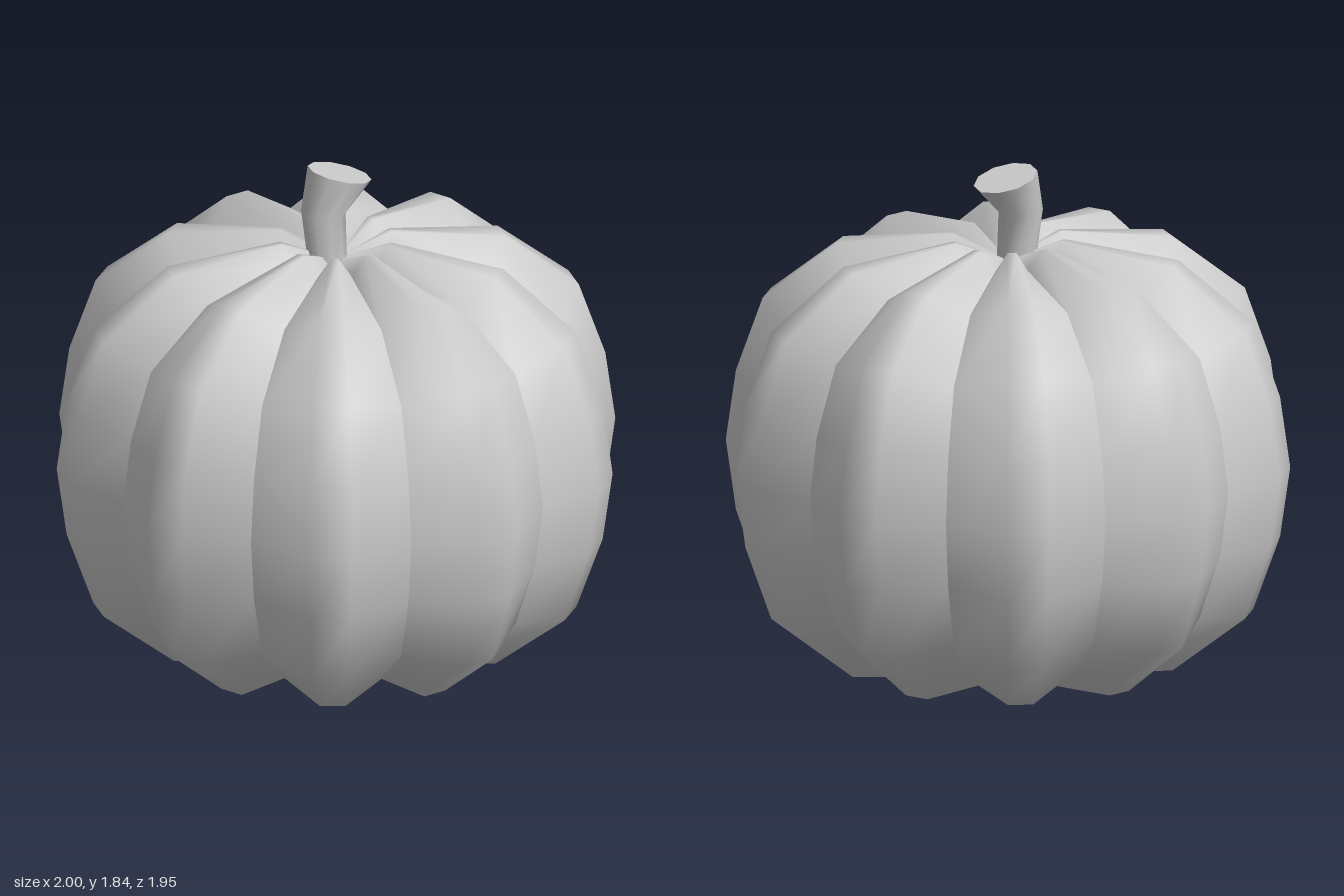
import * as THREE from 'three';

const CENTER_Y = 0.796;

// Grid of rows x columns of points -> indexed geometry with smooth normals
function gridGeometry(rows) {
  const cols = rows[0].length;
  const index = [];
  for (let i = 0; i < rows.length - 1; i++) {
    for (let j = 0; j < cols - 1; j++) {
      const a = i * cols + j, b = a + 1, c = a + cols, d = c + 1;
      index.push(a, b, d, a, d, c);
    }
  }
  const geo = new THREE.BufferGeometry();
  geo.setAttribute('position', new THREE.Float32BufferAttribute(rows.flat(2), 3));
  geo.setIndex(index);
  geo.computeVertexNormals();
  return geo;
}

// One rib: meridian profile swept over a lobe whose edges sink into the valleys
function ribGeometry() {
  const half = [[0, 0.71], [0.2, 0.794], [0.607, 0.738], [0.872, 0.525], [0.967, 0.255]];
  const profile = [
    ...half.map(([r, y]) => [r, -y]),
    [1.003, 0],
    ...half.slice().reverse(),
  ];
  const columns = [[-18, 0.906], [-4.2, 1], [4.2, 1], [18, 0.906]];
  const rows = profile.map(([r, y]) => columns.map(([deg, s]) => {
    const a = THREE.MathUtils.degToRad(deg);
    const k = r === 0 ? 1 : s;
    return [r * k * Math.sin(a), CENTER_Y + y * k, r * k * Math.cos(a)];
  }));
  const geo = gridGeometry(rows);
  // Poles share a vertical normal so the ribs blend there
  const n = geo.attributes.normal, last = n.count - 1;
  for (let j = 0; j < 4; j++) {
    n.setXYZ(j, 0, -1, 0);
    n.setXYZ(last - j, 0, 1, 0);
  }
  return geo;
}

// Bent stalk: three rings, the last one wider and tilted
function stemRings() {
  const sides = 10;
  const rings = [
    { c: [-0.03, 1.48, 0], r: 0.068, tx: 0, tz: 0 },
    { c: [-0.042, 1.685, -0.015], r: 0.078, tx: -0.06, tz: 0 },
    { c: [0.024, 1.816, -0.036], r: 0.112, tx: -0.26, tz: 0.06 },
  ];
  return rings.map(({ c, r, tx, tz }) => Array.from({ length: sides + 1 }, (_, j) => {
    const a = ((j % sides) / sides) * Math.PI * 2;
    const x = r * Math.sin(a), z = r * Math.cos(a);
    return [c[0] + x, c[1] + x * tx + z * tz, c[2] + z];
  }));
}

// Flat cut end of the stalk
function capGeometry(ring) {
  const n = ring.length - 1;
  const index = [];
  for (let j = 1; j < n - 1; j++) index.push(0, j, j + 1);
  const geo = new THREE.BufferGeometry();
  geo.setAttribute('position', new THREE.Float32BufferAttribute(ring.slice(0, n).flat(), 3));
  geo.setIndex(index);
  geo.computeVertexNormals();
  return geo;
}

export function createModel() {
  const model = new THREE.Group();
  model.name = 'pumpkin';
  const material = new THREE.MeshStandardMaterial({ color: 0xcccccc });

  // Body of ten ribs
  const body = new THREE.Group();
  body.name = 'body';
  const rib = ribGeometry();
  for (let i = 0; i < 10; i++) {
    const mesh = new THREE.Mesh(rib, material);
    mesh.name = 'rib' + (i + 1);
    mesh.rotation.y = ((i + 0.5) / 10) * Math.PI * 2;
    body.add(mesh);
  }
  model.add(body);

  // Stem with its cut top
  const rings = stemRings();
  const side = gridGeometry(rings);
  const normals = side.attributes.normal;
  const cols = rings[0].length;
  // Average the normals across the seam
  for (let i = 0; i < rings.length; i++) {
    const a = i * cols, b = a + cols - 1;
    const v = new THREE.Vector3().fromBufferAttribute(normals, a)
      .add(new THREE.Vector3().fromBufferAttribute(normals, b)).normalize();
    normals.setXYZ(a, v.x, v.y, v.z);
    normals.setXYZ(b, v.x, v.y, v.z);
  }
  const stem = new THREE.Group();
  stem.name = 'stem';
  const stalk = new THREE.Mesh(side, material);
  stalk.name = 'stalk';
  const cut = new THREE.Mesh(capGeometry(rings[2]), material);
  cut.name = 'stalkCut';
  stem.add(stalk, cut);
  model.add(stem);

  return model;
}
